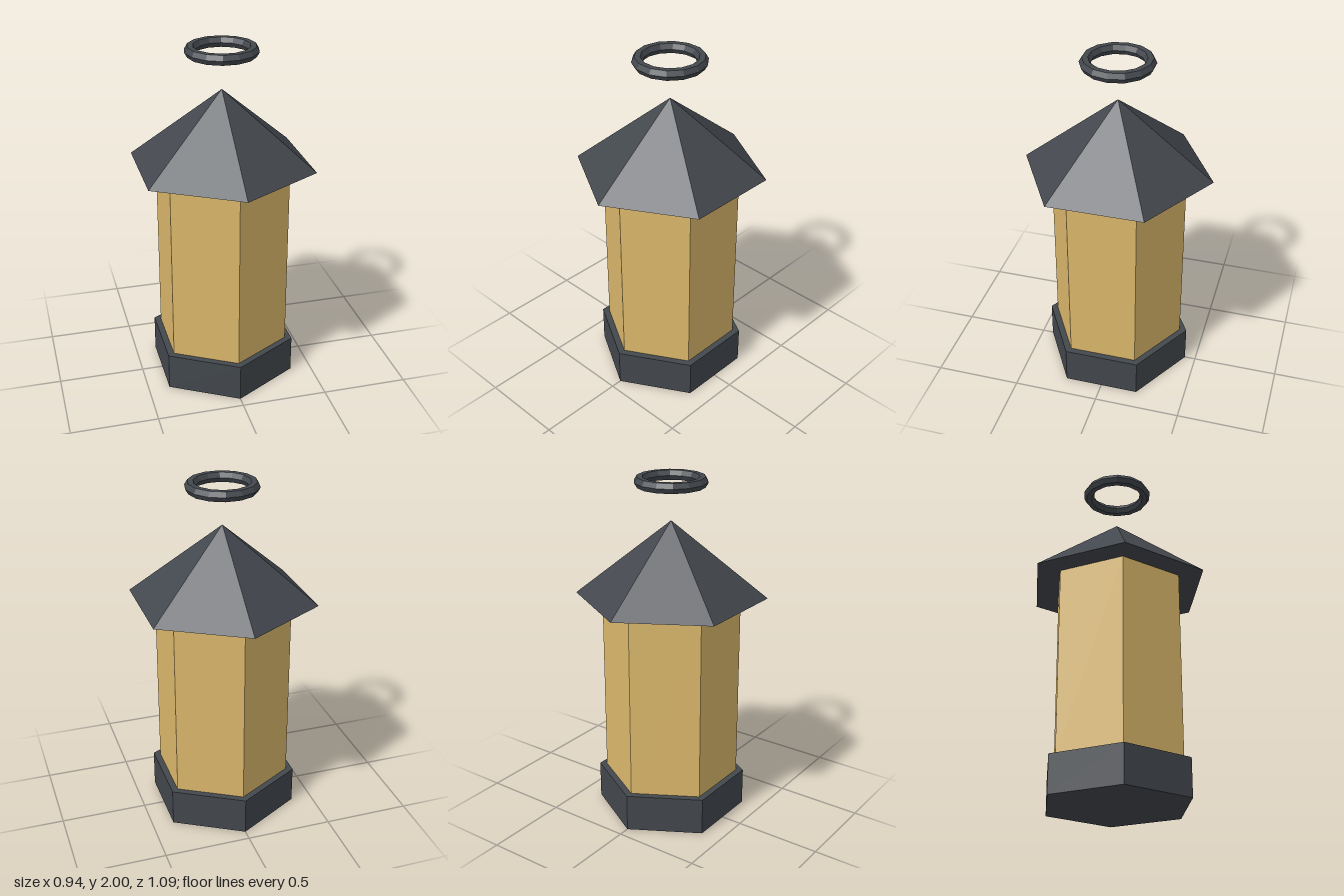
import * as THREE from 'three';

export function createModel() {
  const group = new THREE.Group();
  const iron = new THREE.MeshStandardMaterial({ color: 0x43484e });
  iron.name = 'dark iron';
  const glass = new THREE.MeshStandardMaterial({ color: 0xdcb96c });
  glass.name = 'amber glass';

  function add(name, geometry, material, y) {
    // split the vertices so every facet is flat
    const flat = geometry.toNonIndexed();
    flat.computeVertexNormals();
    const mesh = new THREE.Mesh(flat, material);
    mesh.name = name;
    mesh.position.y = y;
    group.add(mesh);
  }

  // hexagonal lantern, corners pointing to the front and back
  add('base', new THREE.CylinderGeometry(0.436, 0.436, 0.22, 6), iron, 0.11);
  add('lampBody', new THREE.CylinderGeometry(0.394, 0.394, 1.1, 6), glass, 0.77);
  add('roof', new THREE.ConeGeometry(0.545, 0.435, 6), iron, 1.5375);

  // carrying ring lying flat above the roof tip
  const ring = new THREE.TorusGeometry(0.174, 0.032, 6, 14).rotateX(-Math.PI / 2);
  add('hangingRing', ring, iron, 1.973);

  return group;
}
